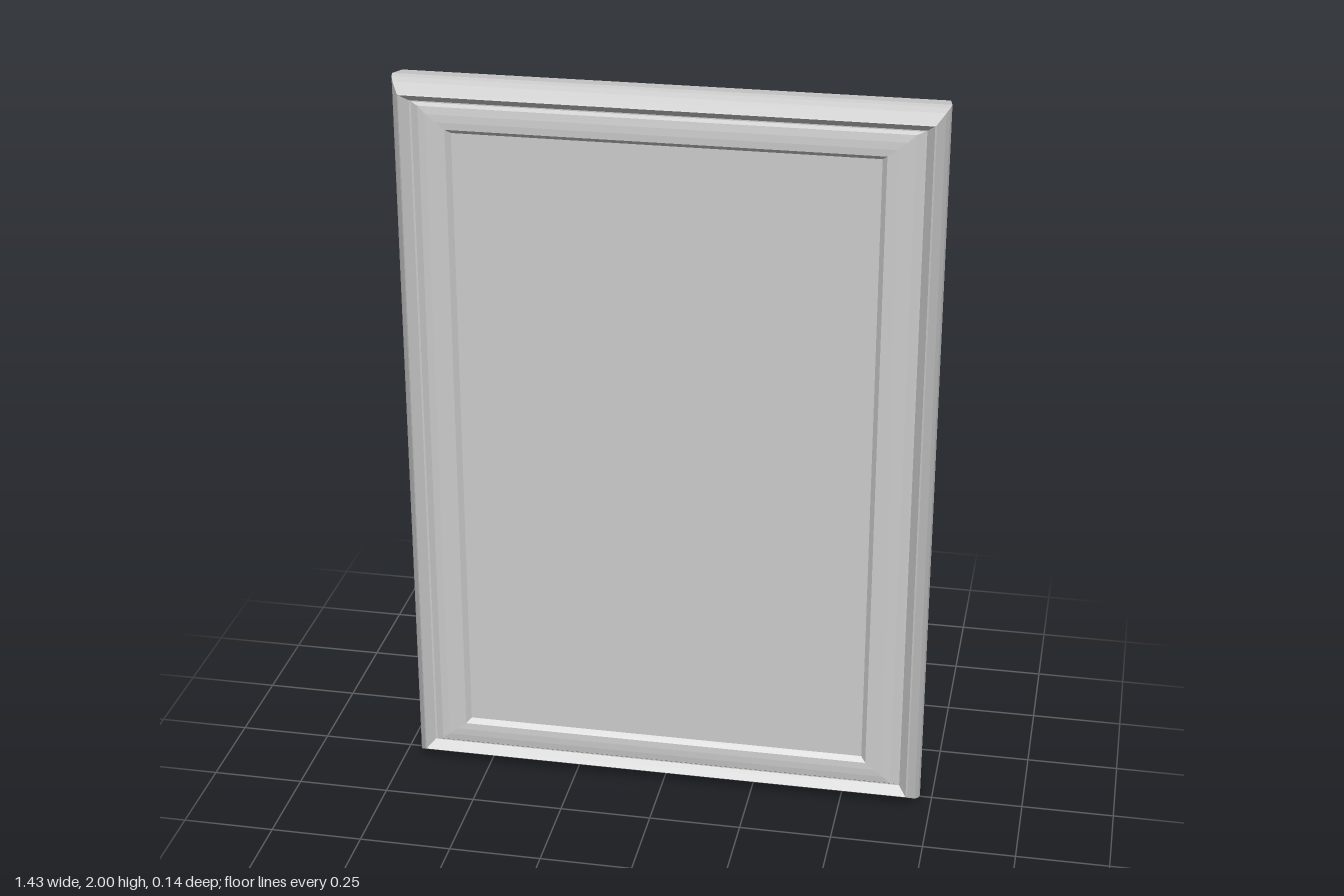
import * as THREE from 'three';

const W = 0.717, H = 1; // half width and half height

// Moulding section from back edge to panel edge: [inset at sides, inset at top and bottom, z]
const section = [
  [0.009, 0.009, -0.068], [0, 0, -0.005], [0.003, 0.003, 0.012], [0.011, 0.011, 0.032],
  [0.03, 0.032, 0.064], [0.034, 0.035, 0.068],
  [0.055, 0.055, 0.042], [0.06, 0.058, 0.042],
  [0.08, 0.065, 0.052], [0.1, 0.085, 0.055], [0.125, 0.105, 0.056], [0.15, 0.124, 0.055],
  [0.163, 0.136, 0.041],
];

// Four mitred corners of the rectangle at one section point
function ring([ix, iy, z]) {
  const x = W - ix, y = H - iy;
  return [[-x, H - y, z], [x, H - y, z], [x, H + y, z], [-x, H + y, z]];
}

function quadMesh(name, quads, material) {
  const positions = [];
  for (const [a, b, c, d] of quads) positions.push(...a, ...b, ...c, ...a, ...c, ...d);
  const geometry = new THREE.BufferGeometry();
  geometry.setAttribute('position', new THREE.Float32BufferAttribute(positions, 3));
  geometry.computeVertexNormals();
  const mesh = new THREE.Mesh(geometry, material);
  mesh.name = name;
  return mesh;
}

export function createModel() {
  const group = new THREE.Group();
  group.name = 'pictureFrame';
  const material = new THREE.MeshStandardMaterial({ color: 0xcccccc, flatShading: true });
  const rings = section.map(ring);

  // Mitred moulding: one strip of faces along each of the four rails
  const rails = ['bottomRail', 'leftRail', 'topRail', 'rightRail'];
  rails.forEach((name, j) => {
    const k = (j + 1) % 4;
    const quads = [];
    for (let i = 0; i < rings.length - 1; i++) {
      quads.push([rings[i][j], rings[i][k], rings[i + 1][k], rings[i + 1][j]]);
    }
    group.add(quadMesh(name, quads, material));
  });

  // Recessed picture panel and flat back
  group.add(quadMesh('picturePanel', [rings[rings.length - 1]], material));
  group.add(quadMesh('backBoard', [[...rings[0]].reverse()], material));
  return group;
}
